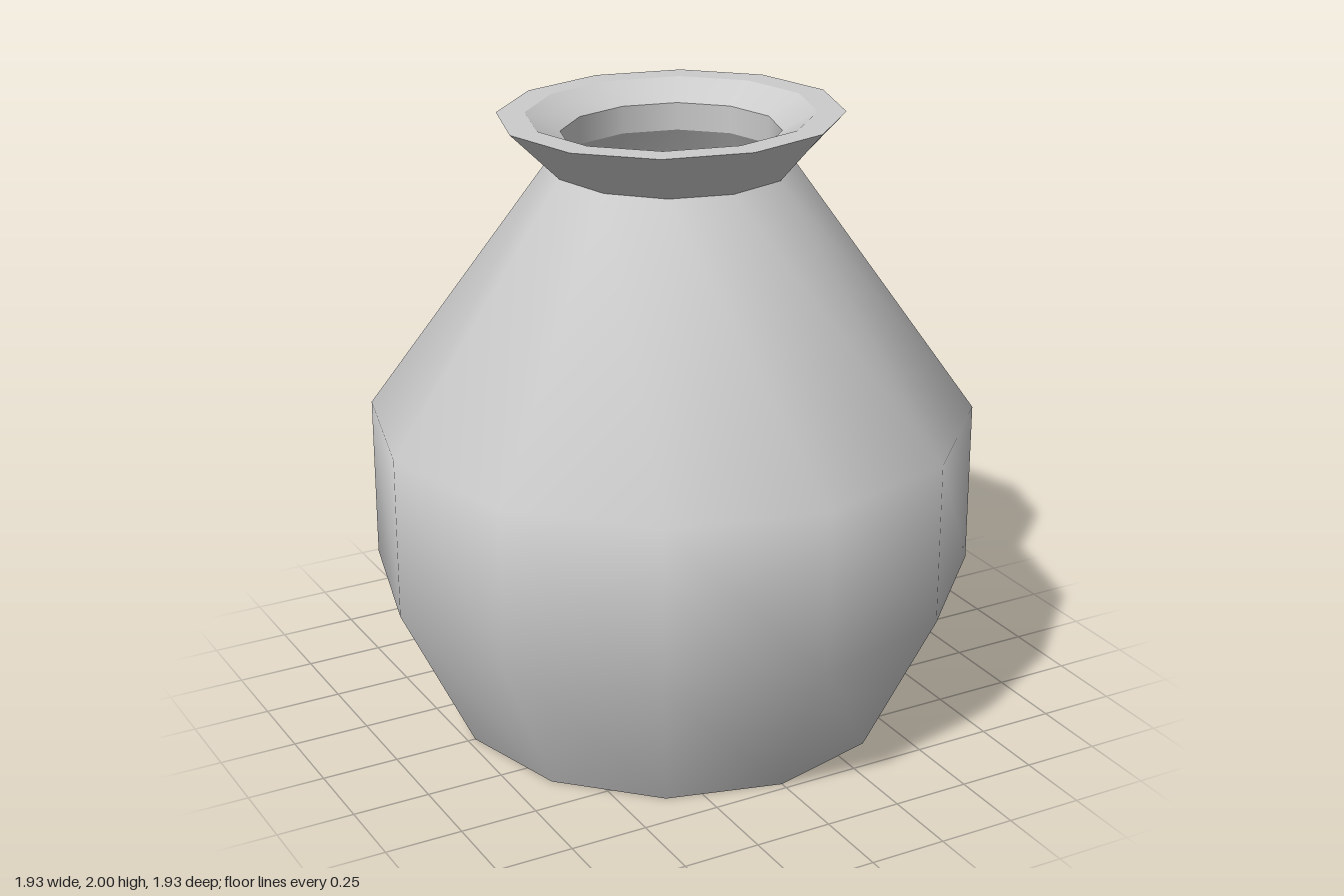
import * as THREE from 'three';

const SIDES = 12;

export function createModel() {
  const model = new THREE.Group();
  const material = new THREE.MeshStandardMaterial({ color: 0xcccccc });

  // Turned part from [radius, height, depth ratio] points; the ratio makes a ring oval
  function turned(name, profile) {
    const points = profile.map(([r, y]) => new THREE.Vector2(r, y));
    const geometry = new THREE.LatheGeometry(points, SIDES);
    const position = geometry.attributes.position;
    for (let i = 0; i < position.count; i++) {
      const ratio = profile[i % profile.length][2] ?? 1;
      position.setZ(i, position.getZ(i) * ratio);
    }
    const mesh = new THREE.Mesh(geometry, material);
    mesh.name = name;
    model.add(mesh);
  }

  const OVAL = 0.925;

  // Outside, from the foot up to the lip
  turned('base', [[0, 0], [0.725, 0]]);
  turned('body', [[0.725, 0], [0.967, 0.5], [0.967, 1.03], [0.388, 1.84]]);
  turned('collar', [[0.388, 1.84], [0.55, 2, OVAL]]);

  // Flat lip and the mouth, running down into the hollow
  turned('lip', [[0.55, 2, OVAL], [0.46, 2, OVAL]]);
  turned('mouth', [[0.46, 2, OVAL], [0.35, 1.94, OVAL]]);
  turned('neckLining', [[0.35, 1.94, OVAL], [0.352, 1.85, OVAL]]);

  // Hollow inside
  turned('innerWall', [[0.352, 1.85, OVAL], [0.9, 1.01], [0.9, 0.52], [0.69, 0.07]]);
  turned('innerFloor', [[0.69, 0.07], [0, 0.07]]);

  return model;
}
